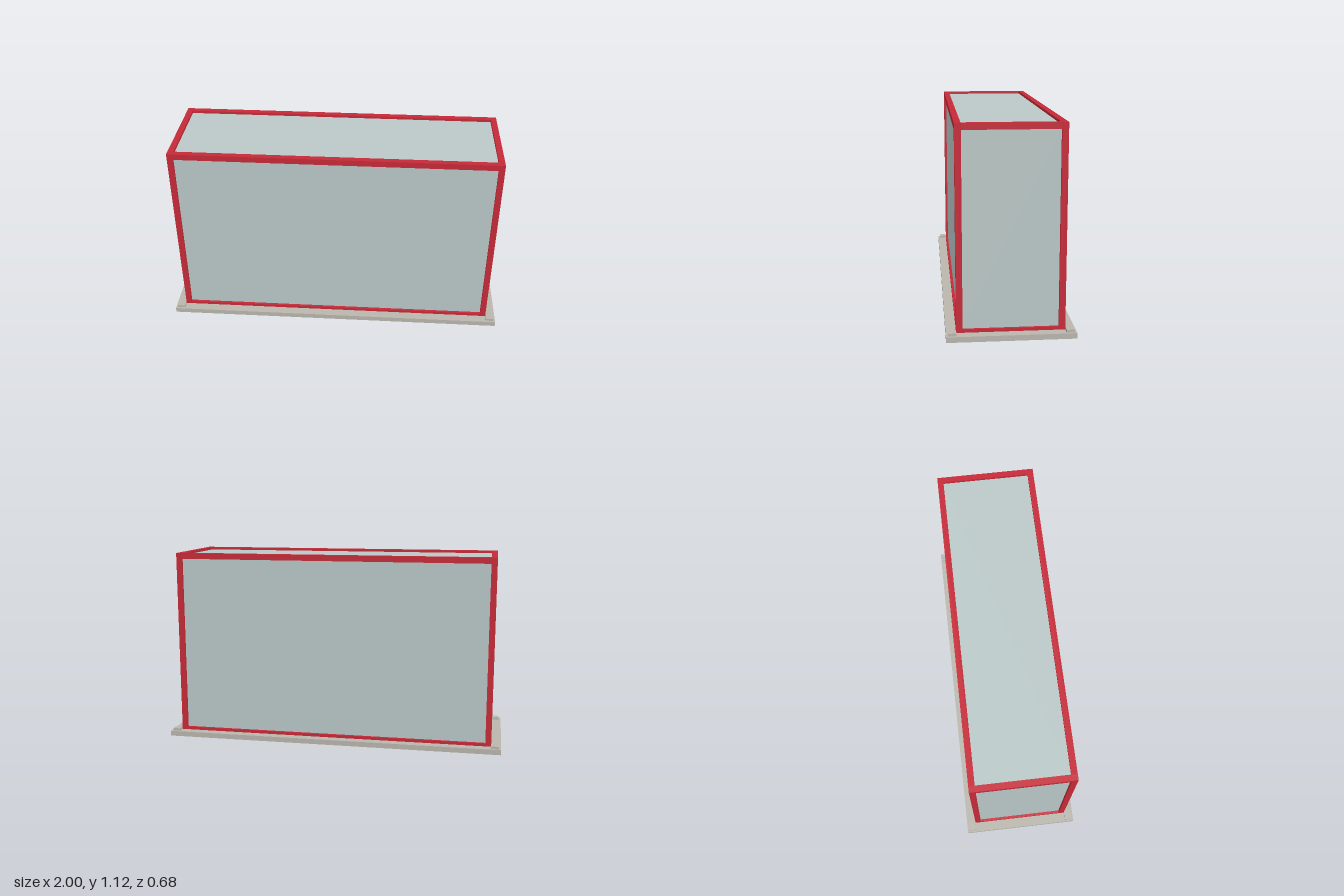
import * as THREE from 'three';

export function createModel() {
  const model = new THREE.Group();
  const mat = (name, color) => {
    const m = new THREE.MeshStandardMaterial({ color });
    m.name = name;
    return m;
  };
  const red = mat('red frame', 0xc62a38);
  const glass = mat('pale glass', 0xbac8c7);
  const stone = mat('warm grey', 0xbab6ae);

  // Box given by its minimum and maximum corners
  function box(name, material, [x0, y0, z0], [x1, y1, z1]) {
    const mesh = new THREE.Mesh(new THREE.BoxGeometry(x1 - x0, y1 - y0, z1 - z0), material);
    mesh.position.set((x0 + x1) / 2, (y0 + y1) / 2, (z0 + z1) / 2);
    mesh.name = name;
    model.add(mesh);
  }

  const X = 0.943, Z = 0.286, top = 1.12, floor = 0.03; // outer frame
  const bar = 0.034, sill = 0.047;
  const xi = X - bar, zi = Z - bar, yi = top - bar; // frame openings

  box('base', stone, [-1, 0, -0.34], [1, floor, 0.34]);

  // Corner pads and posts
  for (const sx of [-1, 1]) for (const sz of [-1, 1]) {
    const span = (s, a, b) => (s > 0 ? [a, b] : [-b, -a]);
    const [px0, px1] = span(sx, X, 0.988), [pz0, pz1] = span(sz, Z, 0.328);
    box('cornerPad', stone, [px0, floor, pz0], [px1, 0.045, pz1]);
    const [x0, x1] = span(sx, xi, X), [z0, z1] = span(sz, zi, Z);
    box('cornerPost', red, [x0, floor, z0], [x1, top, z1]);
  }

  // Long and short rails, thin at the bottom and full at the top
  for (const [y0, y1, name] of [[floor, sill, 'bottomRail'], [yi, top, 'topRail']]) {
    for (const s of [-1, 1]) {
      const z = s * (Z + zi) / 2, x = s * (X + xi) / 2;
      box(name, red, [-xi, y0, z - bar / 2], [xi, y1, z + bar / 2]);
      box(name, red, [x - bar / 2, y0, -zi], [x + bar / 2, y1, zi]);
    }
  }

  // Recessed panels
  const recess = 0.015, t = 0.008;
  for (const s of [-1, 1]) {
    const z = s * (Z - recess - t / 2), x = s * (X - recess - t / 2);
    box(s > 0 ? 'frontPanel' : 'backPanel', glass, [-xi, sill, z - t / 2], [xi, yi, z + t / 2]);
    box(s > 0 ? 'leftPanel' : 'rightPanel', glass, [x - t / 2, sill, -zi], [x + t / 2, yi, zi]);
  }
  box('topPanel', glass, [-xi, top - recess - t, -zi], [xi, top - recess, zi]);

  return model;
}
